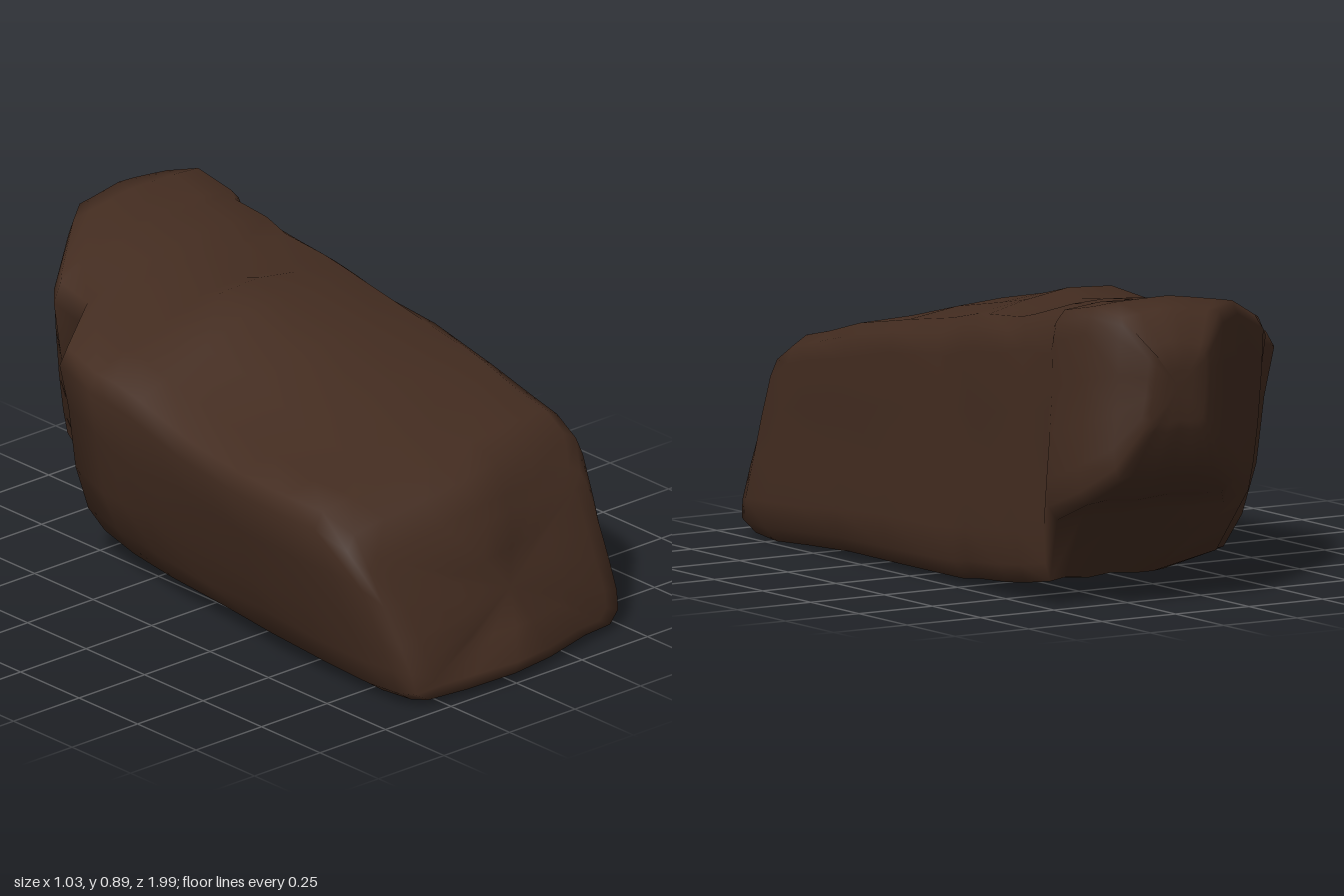
import * as THREE from 'three';

// Cross-sections from front to back:
// z, left x at the base, left x at the top, right x, base y, top y at left / middle / right
const SECTIONS = [
  [0.985, -0.33, -0.40, 0.50, 0.02, 0.43, 0.49, 0.46],
  [0.93, -0.35, -0.45, 0.52, 0.01, 0.50, 0.575, 0.55],
  [0.80, -0.35, -0.49, 0.52, 0.00, 0.55, 0.61, 0.60],
  [0.60, -0.35, -0.52, 0.52, 0.01, 0.565, 0.645, 0.63],
  [0.35, -0.33, -0.525, 0.52, 0.02, 0.575, 0.69, 0.67],
  [0.10, -0.28, -0.49, 0.52, 0.02, 0.59, 0.76, 0.72],
  [-0.13, -0.22, -0.48, 0.515, 0.02, 0.63, 0.81, 0.75],
  [-0.24, -0.16, -0.48, 0.51, 0.02, 0.65, 0.84, 0.77],
  [-0.31, -0.13, -0.48, 0.51, 0.03, 0.66, 0.81, 0.78],
  [-0.47, -0.06, -0.44, 0.505, 0.04, 0.69, 0.83, 0.80],
  [-0.56, -0.02, -0.28, 0.50, 0.05, 0.75, 0.85, 0.82],
  [-0.685, 0.10, -0.27, 0.49, 0.07, 0.77, 0.87, 0.83],
  [-0.715, -0.13, -0.24, 0.50, 0.25, 0.78, 0.875, 0.845],
  [-0.85, -0.03, -0.07, 0.48, 0.31, 0.85, 0.90, 0.87],
  [-0.94, 0.07, 0.04, 0.42, 0.39, 0.84, 0.88, 0.85],
  [-0.985, 0.14, 0.12, 0.35, 0.52, 0.76, 0.79, 0.77],
];

const { lerp, clamp } = THREE.MathUtils;

// Gentle, repeatable unevenness
const bump = (x, y, z) =>
  Math.sin(9 * x + 5 * z + 1) * Math.sin(11 * y - 6 * z) + 0.6 * Math.sin(17 * x - 13 * y + 8 * z);

// One loop of points, anticlockwise seen from the front
function sectionLoop([z, xBase, xTop, xRight, yBase, yLeft, yMid, yRight]) {
  const width = xRight - xTop;
  const hL = yLeft - yBase, hR = yRight - yBase;
  const loop = [];
  // Underside
  for (const u of [0.04, 0.2, 0.4, 0.6, 0.8, 0.94]) {
    loop.push([lerp(xBase, xRight, u), yBase + (u === 0.4 || u === 0.8 ? 0.008 : 0)]);
  }
  // Right wall, leaning in slightly
  for (const [t, inset] of [[0.07, 0.008], [0.2, 0], [0.42, 0.012], [0.65, 0.018], [0.87, 0.022], [0.96, 0.034]]) {
    loop.push([xRight - inset, yBase + hR * t]);
  }
  // Top
  loop.push([xRight - 0.08 * width, yRight + 0.005]);
  for (const u of [0.75, 0.6, 0.45, 0.3, 0.15]) {
    const y = u > 0.5 ? lerp(yMid, yRight, (u - 0.5) * 1.6) : lerp(yLeft, yMid, u * 2);
    loop.push([xTop + width * u, y]);
  }
  loop.push([xTop + 0.04 * width, yLeft + 0.005]);
  // Left wall, sloping at the front and sharply undercut at the foot further back
  const curve = clamp(0.45 + 0.6 * z, 0.22, 0.85);
  for (const t of [0.93, 0.7, 0.42, 0.2, 0.06]) {
    loop.push([lerp(xBase, xTop, Math.pow(t, curve)), yBase + hL * t]);
  }
  // Lean the front face back and round it off in plan
  const front = clamp((z - 0.4) / 0.6, 0, 1);
  return loop.map(([x, y]) => {
    const t = clamp((y - yBase) / (yMid - yBase), 0, 1);
    const turn = x > 0 ? -0.22 * x : 0.13 * x;
    const n = bump(x, y, z) * 0.005 * (t > 0.1 ? 1 : 0);
    return new THREE.Vector3(
      x + (x > 0.4 ? -Math.abs(n) : n), y + n,
      z + front * (-0.17 * Math.pow(t, 1.5) + turn));
  });
}

// Loop shrunk towards its centre, used to round off the two ends
function shrinkLoop(loop, scale, push) {
  const centre = loop.reduce((s, p) => s.add(p), new THREE.Vector3()).divideScalar(loop.length);
  return loop.map((p) => {
    const q = p.clone().lerp(centre, 1 - scale);
    q.z += push + (scale > 0 ? bump(q.x, q.y, q.z) * 0.005 : 0);
    return q;
  });
}

function rockGeometry() {
  const body = SECTIONS.map(sectionLoop);
  const first = body[0], last = body[body.length - 1];
  const loops = [
    shrinkLoop(first, 0.45, 0.035), shrinkLoop(first, 0.85, 0.02),
    ...body,
    shrinkLoop(last, 0.8, -0.01), shrinkLoop(last, 0.4, -0.014),
  ];
  const n = first.length;
  const points = loops.flat();
  const index = [];
  for (let k = 0; k < loops.length - 1; k++) {
    for (let i = 0; i < n; i++) {
      const a = k * n + i, b = k * n + (i + 1) % n;
      index.push(a, a + n, b, b, a + n, b + n);
    }
  }
  // End caps
  const frontCentre = points.push(shrinkLoop(first, 0, 0.035)[0]) - 1;
  const backCentre = points.push(shrinkLoop(last, 0, -0.014)[0]) - 1;
  const start = (loops.length - 1) * n;
  for (let i = 0; i < n; i++) {
    const j = (i + 1) % n;
    index.push(frontCentre, i, j, backCentre, start + j, start + i);
  }
  const geometry = new THREE.BufferGeometry().setFromPoints(points);
  geometry.setIndex(index);
  geometry.computeBoundingBox();
  const { min, max } = geometry.boundingBox;
  geometry.translate(-(min.x + max.x) / 2, -min.y, -(min.z + max.z) / 2);
  geometry.computeVertexNormals();
  return geometry;
}

export function createModel() {
  const stone = new THREE.MeshStandardMaterial({ color: 0x432c20 });
  stone.name = 'dark brown stone';
  const rock = new THREE.Mesh(rockGeometry(), stone);
  rock.name = 'rock';
  const group = new THREE.Group();
  group.name = 'boulder';
  group.add(rock);
  return group;
}
